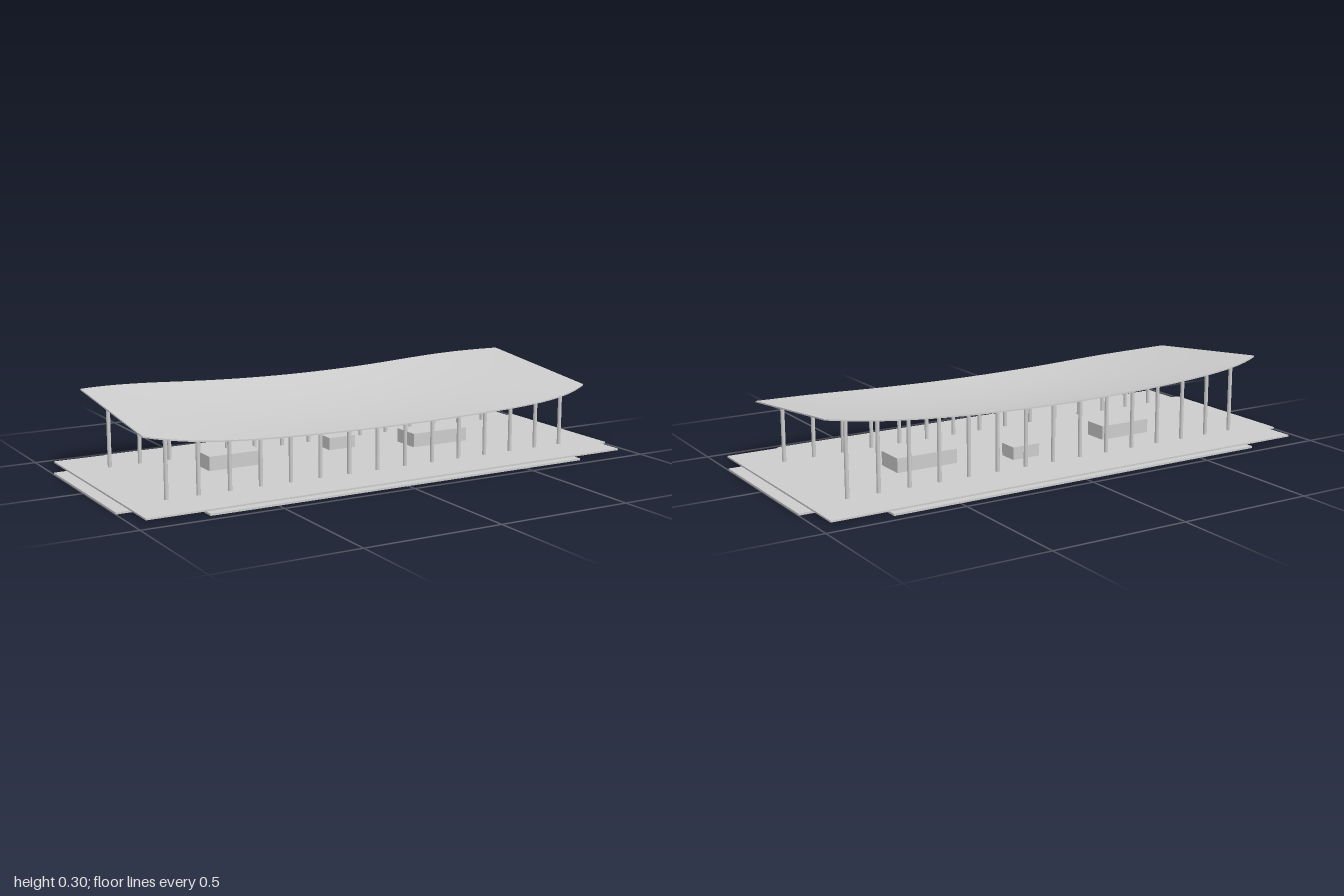
import * as THREE from 'three';

const HALF_X = 0.895;

// Underside height of the roof: dished across the middle, straight and raised at the ends
function roofHeight(x, z) {
  const middle = 0.195 - 0.081 * z + 0.197 * z * z;
  const end = 0.265 - 0.105 * z;
  return THREE.MathUtils.lerp(middle, end, (x / HALF_X) ** 2);
}

// Half depth of the roof: constant in the middle, curving in toward the ends
function roofHalfDepth(x) {
  const u = Math.max(0, (Math.abs(x) - 0.42) / (HALF_X - 0.42));
  return 0.373 - 0.09 * u ** 3;
}

export function createModel() {
  const model = new THREE.Group();
  model.name = 'pavilion';
  const concrete = new THREE.MeshStandardMaterial({ color: 0xcccccc });
  concrete.name = 'pale concrete';

  function add(name, geometry, x = 0, y = 0, z = 0, parent = model) {
    const mesh = new THREE.Mesh(geometry, concrete);
    mesh.name = name;
    mesh.position.set(x, y, z);
    parent.add(mesh);
    return mesh;
  }

  // Block given by its x, y and z ranges
  function block(name, [x0, x1], [y0, y1], [z0, z1]) {
    add(name, new THREE.BoxGeometry(x1 - x0, y1 - y0, z1 - z0),
      (x0 + x1) / 2, (y0 + y1) / 2, (z0 + z1) / 2);
  }

  // Lower step: a cross-shaped plate that shows on all four sides of the floor
  const cross = new THREE.Shape([
    [-1, -0.297], [-0.745, -0.297], [-0.745, -0.462], [0.745, -0.462],
    [0.745, -0.297], [1, -0.297], [1, 0.297], [0.745, 0.297],
    [0.745, 0.462], [-0.745, 0.462], [-0.745, 0.297], [-1, 0.297],
  ].map(([x, y]) => new THREE.Vector2(x, y)));
  const stepGeometry = new THREE.ExtrudeGeometry(cross, { depth: 0.007, bevelEnabled: false });
  stepGeometry.rotateX(-Math.PI / 2);
  add('entranceSteps', stepGeometry);

  // Floor slab
  block('floorSlab', [-0.952, 0.952], [0.007, 0.013], [-0.433, 0.43]);

  // Low rooms under the roof
  block('rightRoom', [-0.525, -0.315], [0.013, 0.065], [-0.112, -0.02]);
  block('middleRoom', [0, 0.11], [0.013, 0.059], [-0.163, -0.088]);
  block('leftRoom', [0.297, 0.535], [0.013, 0.065], [-0.087, 0.03]);

  // Two rows of slender columns reaching up to the roof
  const columns = new THREE.Group();
  columns.name = 'columns';
  model.add(columns);
  for (const z of [-0.253, 0.255]) {
    for (let i = -7; i <= 7; i++) {
      const x = i * 0.1153;
      const top = roofHeight(x, z) + 0.002;
      add('column', new THREE.CylinderGeometry(0.0072, 0.0072, top - 0.013, 16),
        x, (top + 0.013) / 2, z, columns);
    }
  }

  // Thin sagging roof, a subdivided plate bent by the height rule
  const roof = new THREE.BoxGeometry(1, 1, 1, 64, 1, 20);
  const p = roof.attributes.position;
  for (let i = 0; i < p.count; i++) {
    const x = p.getX(i) * 2 * HALF_X;
    const z = p.getZ(i) * 2 * roofHalfDepth(x) - 0.002;
    p.setXYZ(i, x, roofHeight(x, z) + (p.getY(i) > 0 ? 0.005 : 0), z);
  }
  roof.computeVertexNormals();
  add('roof', roof);

  return model;
}
